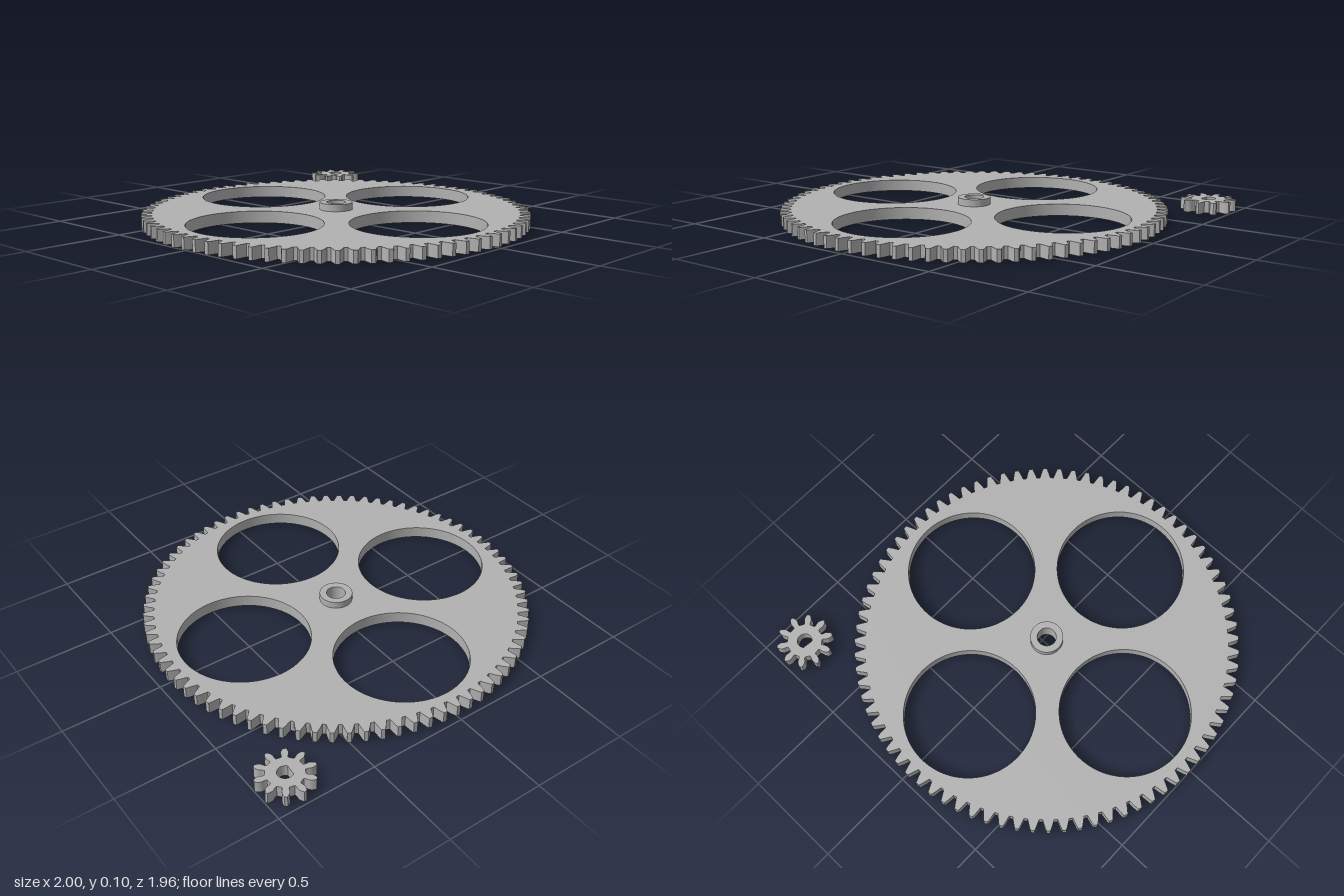
import * as THREE from 'three';
import { toCreasedNormals } from 'three/addons/utils/BufferGeometryUtils.js';

const THICKNESS = 0.06;

// Closed gear outline; flank = [radius, half width] pairs from root to tip
function gearShape(teeth, phase, flank) {
  const points = [];
  for (let i = 0; i < teeth; i++) {
    const a = phase + (i / teeth) * Math.PI * 2;
    const add = (r, offset) => points.push(
      new THREE.Vector2(r * Math.cos(a + offset), r * Math.sin(a + offset)));
    for (const [r, w] of flank) add(r, -w / r);
    for (const [r, w] of [...flank].reverse()) add(r, w / r);
  }
  return new THREE.Shape(points);
}

function circle(x, y, r) {
  return new THREE.Path().absarc(x, y, r, 0, Math.PI * 2, true);
}

// Extrude a flat outline upwards from y = 0
function plate(name, shape, height, material) {
  let geometry = new THREE.ExtrudeGeometry(shape, {
    depth: height, bevelEnabled: false, curveSegments: 72,
  });
  geometry.rotateX(-Math.PI / 2);
  geometry = toCreasedNormals(geometry, 0.35);
  const mesh = new THREE.Mesh(geometry, material);
  mesh.name = name;
  return mesh;
}

export function createModel() {
  const model = new THREE.Group();
  model.name = 'gearPair';
  const grey = new THREE.MeshStandardMaterial({ color: 0xb2b2b2 });
  grey.name = 'grey';

  // Large wheel with four round cut-outs and a shaft hole
  const wheel = new THREE.Group();
  wheel.name = 'largeGear';
  wheel.position.set(-0.028, 0, 0.003);
  const turn = -0.022;
  const wheelShape = gearShape(80, turn, [
    [0.921, 0.0275], [0.935, 0.0235], [0.951, 0.0185], [0.965, 0.0135], [0.975, 0.0095],
  ]);
  wheelShape.holes.push(circle(0, 0, 0.048));
  for (let i = 0; i < 4; i++) {
    const a = turn + i * Math.PI / 2;
    wheelShape.holes.push(circle(0.546 * Math.cos(a), 0.546 * Math.sin(a), 0.328));
  }
  wheel.add(plate('wheelPlate', wheelShape, THICKNESS, grey));

  // Raised collar round the shaft hole
  const collarShape = new THREE.Shape().absarc(0, 0, 0.083, 0, Math.PI * 2, false);
  collarShape.holes.push(circle(0, 0, 0.048));
  const collar = plate('hubCollar', collarShape, 0.036, grey);
  collar.position.y = THICKNESS;
  wheel.add(collar);
  model.add(wheel);

  // Small pinion with undercut teeth and a D-shaped bore
  const pinionShape = gearShape(10, 0.37, [
    [0.088, 0.0155], [0.094, 0.0142], [0.103, 0.0155], [0.113, 0.0175],
    [0.122, 0.0165], [0.132, 0.0125], [0.141, 0.0065],
  ]);
  const flat = Math.PI - Math.acos(0.026 / 0.037);
  const bore = new THREE.Path().absarc(0, 0, 0.037, flat - 0.1, -flat - 0.1, true);
  bore.closePath();
  pinionShape.holes.push(bore);
  const pinion = plate('smallGear', pinionShape, THICKNESS, grey);
  pinion.position.set(0.861, 0, -0.845);
  model.add(pinion);

  return model;
}
